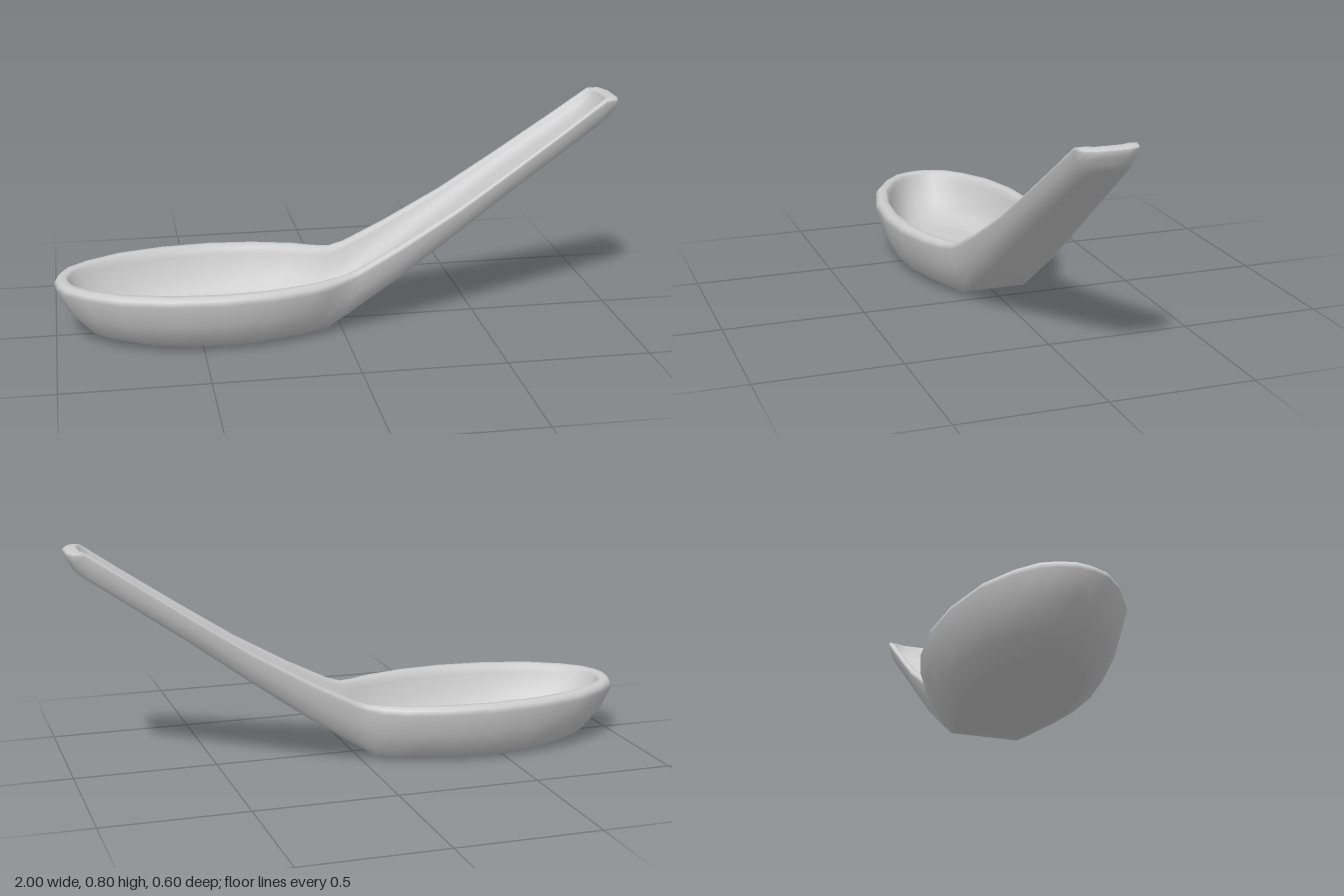
import * as THREE from 'three';

// Linear interpolation through [x, y] points
function along(points, x) {
  if (x <= points[0][0]) return points[0][1];
  for (let i = 1; i < points.length; i++) {
    const [x0, y0] = points[i - 1], [x1, y1] = points[i];
    if (x <= x1) return THREE.MathUtils.lerp(y0, y1, (x - x0) / (x1 - x0));
  }
  return points[points.length - 1][1];
}

// Side profiles: rim line and underside
const rimLine = [[-0.02, 0.215], [0.03, 0.228], [0.2, 0.315], [0.4, 0.43], [0.7, 0.628], [0.94, 0.797], [1, 0.793]];
const underside = [[-0.1, 0], [-0.05, 0.012], [0.24, 0.2], [0.6, 0.465], [0.97, 0.725], [1, 0.745]];

// Half outline from bowl tip to handle end: x, z, bowl weight, end weight
const outline = [
  [-1, 0, 1, 0], [-0.99, 0.055, 1, 0], [-0.965, 0.11, 1, 0], [-0.9, 0.17, 1, 0], [-0.78, 0.24, 1, 0],
  [-0.61, 0.285, 1, 0], [-0.43, 0.3, 1, 0], [-0.27, 0.285, 1, 0], [-0.12, 0.245, 1, 0],
  [-0.05, 0.208, 0.7, 0], [0, 0.18, 0.35, 0], [0.05, 0.172, 0.1, 0], [0.2, 0.161, 0, 0], [0.4, 0.146, 0, 0],
  [0.6, 0.131, 0, 0], [0.8, 0.116, 0, 0], [0.945, 0.104, 0, 0.7], [0.985, 0.09, 0, 0.9],
  [1, 0.05, 0, 1], [1, 0, 0, 1],
];

// Shell rings from base, over the rim, to the inner floor:
// x scale, z scale, height share, end inset, inside or not
const rings = [
  [0.61, 0.59, 0, 0.04, 0], [0.65, 0.64, 0, 0.03, 0], [0.81, 0.81, 0.15, 0.02, 0],
  [0.93, 0.93, 0.5, 0.007, 0], [1, 1, 0.87, 0, 0], [0.99, 0.98, 0.95, 0.006, 0],
  [0.97, 0.94, 1, 0.02, 0], [0.93, 0.86, 1, 0.038, 0], [0.91, 0.82, 0.95, 0.047, 1],
  [0.9, 0.8, 0.85, 0.05, 1], [0.82, 0.72, 0.5, 0.06, 1], [0.7, 0.61, 0.3, 0.08, 1],
  [0.55, 0.47, 0.22, 0.1, 1], [0.48, 0.4, 0.21, 0.11, 1],
];

function spoonGeometry() {
  const bowlCentre = -0.43;
  const last = outline.length - 1;
  const count = last * 2;
  const positions = [], index = [];

  for (const [sx, sz, height, inset, inside] of rings) {
    for (let i = 0; i < count; i++) {
      const mirrored = i > last;
      const [px, pz, bowl, end] = outline[mirrored ? count - i : i];
      const x = px + bowl * (bowlCentre - px) * (1 - sx) - end * inset;
      // The trough gets shallower along the handle
      const lift = inside * 0.35 * THREE.MathUtils.clamp(x / 0.6, 0, 1);
      const share = height + (1 - height) * lift;
      const y = THREE.MathUtils.lerp(along(underside, x), along(rimLine, x), share);
      positions.push(x, y, (mirrored ? -pz : pz) * sz);
    }
  }

  // Walls between neighbouring rings
  for (let k = 0; k < rings.length - 1; k++) {
    for (let i = 0; i < count; i++) {
      const j = (i + 1) % count;
      const a = k * count + i, b = k * count + j, c = a + count, d = b + count;
      index.push(a, b, d, a, d, c);
    }
  }

  // Base and inner floor, closed across from side to side
  const top = (rings.length - 1) * count;
  for (let i = 0; i < last; i++) {
    const a = i, b = i + 1, c = count - i - 1, d = (count - i) % count;
    const tris = [];
    if (b !== c) tris.push([a, b, c]);
    if (a !== d) tris.push([a, c, d]);
    for (const [p, q, r] of tris) {
      index.push(p, r, q);
      index.push(top + p, top + q, top + r);
    }
  }

  const geometry = new THREE.BufferGeometry();
  geometry.setAttribute('position', new THREE.Float32BufferAttribute(positions, 3));
  geometry.setIndex(index);
  geometry.computeVertexNormals();
  return geometry;
}

export function createModel() {
  const group = new THREE.Group();
  group.name = 'soupSpoon';
  const material = new THREE.MeshStandardMaterial({ color: 0xcccccc });
  const spoon = new THREE.Mesh(spoonGeometry(), material);
  spoon.name = 'bowlAndHandle';
  group.add(spoon);
  return group;
}
